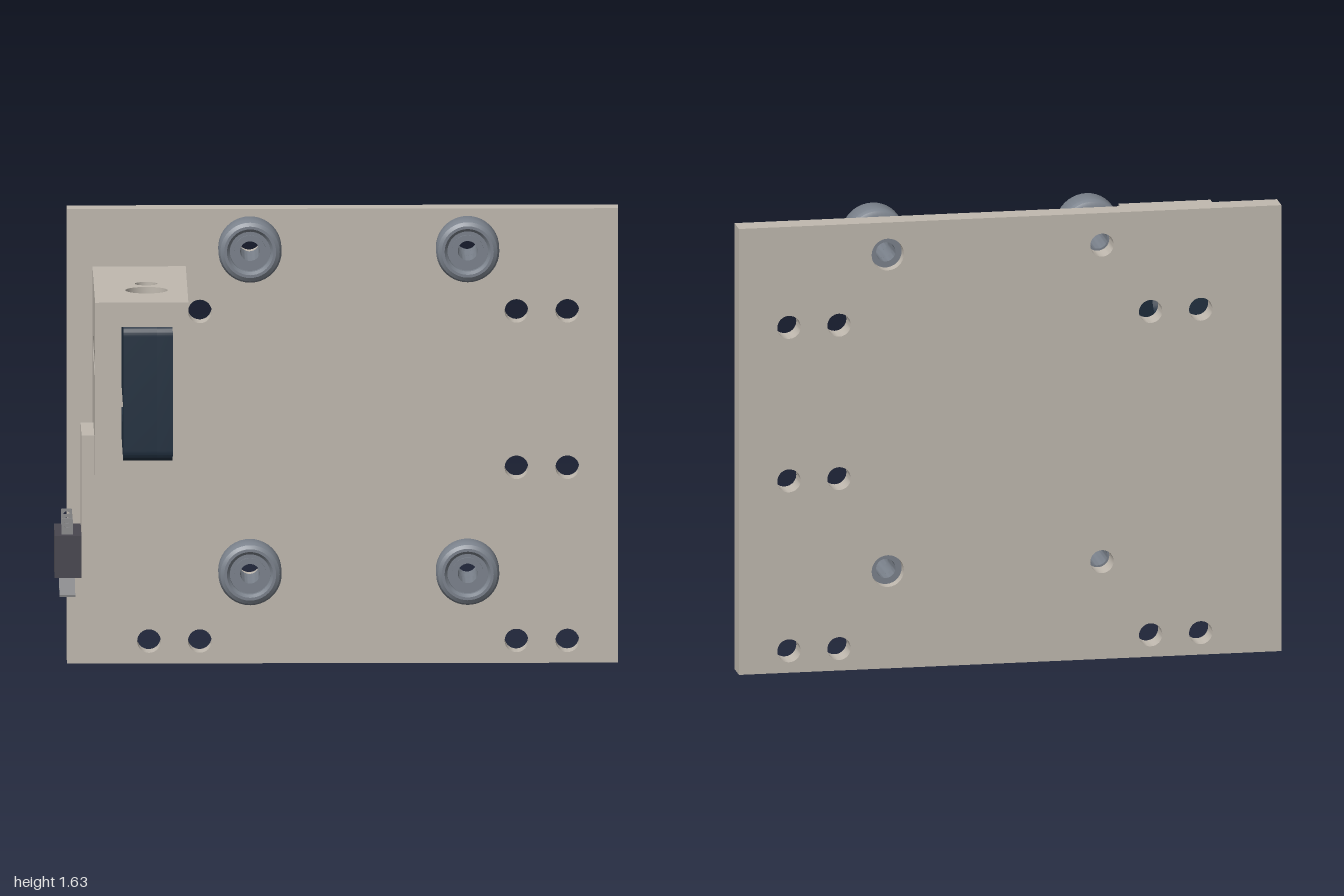
import * as THREE from 'three';
import { toCreasedNormals } from 'three/addons/utils/BufferGeometryUtils.js';

const mat = (name, color) => Object.assign(new THREE.MeshStandardMaterial({ color }), { name });

// Closed outline from [x, y, cornerRadius] points
function poly(pts, holes = []) {
  const s = new THREE.Shape();
  pts.forEach(([x, y, r = 0], i) => {
    const toward = ([px, py]) => {
      const d = Math.hypot(px - x, py - y);
      return [x + (px - x) / d * r, y + (py - y) / d * r];
    };
    const a = toward(pts[(i + pts.length - 1) % pts.length]);
    const b = toward(pts[(i + 1) % pts.length]);
    if (i === 0) s.moveTo(...a); else s.lineTo(...a);
    if (r) s.quadraticCurveTo(x, y, ...b);
  });
  s.closePath();
  s.holes = holes;
  return s;
}
const rect = (x0, y0, x1, y1, holes) => poly([[x0, y0], [x1, y0], [x1, y1], [x0, y1]], holes);
const circle = (x, y, r) => new THREE.Path().absarc(x, y, r, 0, Math.PI * 2, true);
// Rounded slot; hx, hy are the half lengths of its straight part
function slot(x, y, r, hx, hy) {
  const p = new THREE.Path();
  if (hx) {
    p.absarc(x + hx, y, r, -Math.PI / 2, Math.PI / 2, false);
    p.absarc(x - hx, y, r, Math.PI / 2, Math.PI * 1.5, false);
  } else {
    p.absarc(x, y + hy, r, 0, Math.PI, false);
    p.absarc(x, y - hy, r, Math.PI, Math.PI * 2, false);
  }
  return p.closePath();
}
function extrude(shape, depth) {
  const g = new THREE.ExtrudeGeometry(shape, { depth, bevelEnabled: false, curveSegments: 16 });
  return toCreasedNormals(g, 0.6);
}
// Slabs facing z, x (outline drawn in -z, y) and y (outline drawn in x, -z)
const slabZ = (shape, z0, z1) => extrude(shape, z1 - z0).translate(0, 0, z0);
const slabX = (shape, x0, x1) => extrude(shape, x1 - x0).rotateY(Math.PI / 2).translate(x0, 0, 0);
const slabY = (shape, y0, y1) => extrude(shape, y1 - y0).rotateX(-Math.PI / 2).translate(0, y0, 0);
const box = (x0, x1, y0, y1, z0, z1) => new THREE.BoxGeometry(x1 - x0, y1 - y0, z1 - z0)
  .translate((x0 + x1) / 2, (y0 + y1) / 2, (z0 + z1) / 2);
// Turned part about the z axis from [radius, z] points
const turned = pts => toCreasedNormals(new THREE.LatheGeometry(
  pts.map(p => new THREE.Vector2(...p)), 40).rotateX(Math.PI / 2), 0.5);

export function createModel() {
  const root = new THREE.Group();
  root.name = 'carriageAssembly';
  const sand = mat('sandPlastic', 0xc0b9af);
  const navy = mat('navyMetal', 0x213040);
  const steel = mat('wheelGrey', 0x7b828c);
  const dark = mat('switchCharcoal', 0x48464f);
  const metal = mat('contactMetal', 0x8c8c8e);
  const group = name => {
    const g = new THREE.Group();
    g.name = name;
    root.add(g);
    return g;
  };
  const add = (parent, name, geo, m) => {
    const mesh = new THREE.Mesh(geo, m);
    mesh.name = name;
    parent.add(mesh);
    return mesh;
  };

  // Back plate with mounting and axle holes
  const wheelX = [-0.305, 0.465], wheelY = [0.355, 1.51];
  const holes = [[-0.66, 0.08], [-0.48, 0.08], [-0.66, 1.26], [-0.48, 1.26]];
  for (const y of [0.08, 0.7, 1.26]) holes.push([0.64, y], [0.82, y]);
  const platePaths = holes.map(([x, y]) => circle(x, y, 0.042));
  for (const y of wheelY) platePaths.push(circle(wheelX[0], y, 0.042), circle(wheelX[1], y, 0.058));
  add(root, 'backPlate', slabZ(rect(-0.95, 0, 1, 1.627, platePaths), -0.46, -0.373), sand);

  // Wheels: round spacers on one column, hexagonal spacers on the other
  const tyre = turned([[0.035, -0.275], [0.06, -0.275], [0.06, -0.255], [0.092, -0.255], [0.105, -0.248],
    [0.112, -0.235], [0.112, -0.147], [0.105, -0.133], [0.092, -0.125], [0.082, -0.125], [0.072, -0.137],
    [0.072, -0.16], [0.056, -0.16], [0.056, -0.152], [0.035, -0.152], [0.035, -0.275]]);
  const round = turned([[0.035, -0.373], [0.084, -0.373], [0.084, -0.362], [0.072, -0.362],
    [0.072, -0.272], [0.035, -0.272], [0.035, -0.373]]);
  const hexPts = [...Array(6)].map((_, i) => {
    const a = Math.PI / 2 + i * Math.PI / 3;
    return [0.077 * Math.cos(a), 0.077 * Math.sin(a)];
  });
  const hex = slabZ(poly(hexPts, [circle(0, 0, 0.035)]), -0.36, -0.272);
  const boss = turned([[0.035, -0.42], [0.057, -0.42], [0.057, -0.373], [0.082, -0.373],
    [0.082, -0.36], [0.035, -0.36], [0.035, -0.42]]);
  wheelX.forEach((x, i) => wheelY.forEach(y => {
    const w = group('wheel');
    w.position.set(x, y, 0);
    add(w, 'tyre', tyre, steel);
    if (i === 0) add(w, 'roundSpacer', round, steel);
    else {
      add(w, 'hexSpacer', hex, steel);
      add(w, 'eccentricBoss', boss, steel);
    }
  }));

  // Bracket: top arm, side wall and switch mount
  const bracket = group('bracket');
  add(bracket, 'topArm', slabY(rect(-0.86, -0.46, -0.53, 0.373,
    [circle(-0.675, -0.175, 0.075), circle(-0.675, -0.025, 0.04)]), 1.335, 1.422), sand);
  add(bracket, 'sideWall', slabX(poly([[-0.46, 0.787], [0.085, 0.787], [0.085, 0.375], [0.373, 0.375],
    [0.373, 1.335], [-0.46, 1.335]],
    [slot(-0.33, 1.19, 0.045, 0.022, 0), slot(-0.03, 1.19, 0.045, 0.022, 0)]), -0.86, -0.775), sand);
  add(bracket, 'switchMount', slabX(rect(-0.195, 0.39, 0.105, 0.905,
    [slot(-0.12, 0.503, 0.017, 0, 0.02), slot(0.02, 0.503, 0.017, 0, 0.02)]), -0.905, -0.86), sand);

  // Load cell: slotted block, counterbored sideways and bored through vertically
  const cell = group('loadCell');
  const [b, t, s0, s1] = [0.847, 1.334, 0.966, 1.036];
  for (const [x0, x1, r] of [[-0.76, -0.64, 0.04], [-0.64, -0.585, 0.068]]) {
    add(cell, 'frontBlock', slabX(poly([[-0.43, b, 0.04], [-0.245, b], [-0.245, s0], [-0.35, s0, 0.034],
      [-0.35, s1, 0.034], [-0.245, s1], [-0.245, t], [-0.43, t, 0.04]], [circle(-0.33, 1.19, r)]), x0, x1), navy);
    add(cell, 'upperBlock', slabX(poly([[-0.105, s1], [0.07, s1], [0.07, t, 0.04], [-0.105, t]],
      [circle(-0.03, 1.19, r)]), x0, x1), navy);
  }
  add(cell, 'lowerBlock', slabX(poly([[-0.105, b], [0.07, b, 0.04], [0.07, s0], [-0.105, s0]]), -0.76, -0.585), navy);
  for (const [y0, y1] of [[b, s0], [s1, t]])
    add(cell, 'boredBlock', slabY(rect(-0.76, -0.245, -0.585, -0.105,
      [circle(-0.675, -0.175, 0.062)]), y0, y1), navy);

  // Limit switch with terminals, plunger and lever
  const sw = group('limitSwitch');
  add(sw, 'switchBody', slabX(rect(-0.195, 0.395, 0.1, 0.545,
    [circle(-0.12, 0.503, 0.02), circle(0.02, 0.503, 0.02)]), -1, -0.905), dark);
  for (const z of [-0.075, 0.05, 0.152])
    add(sw, 'terminal', slabZ(poly([[-0.975, 0.54], [-0.935, 0.54], [-0.935, 0.602, 0.008],
      [-0.975, 0.602, 0.008]], [circle(-0.955, 0.58, 0.012)]), z - 0.004, z + 0.004), metal);
  add(sw, 'plunger', new THREE.CylinderGeometry(0.013, 0.013, 0.03, 16).rotateZ(Math.PI / 2)
    .translate(-0.955, 0.384, 0.013), metal);
  add(sw, 'leverHook', box(-0.983, -0.927, 0.368, 0.4, -0.042, -0.036), metal);
  const lever = add(sw, 'lever', new THREE.BoxGeometry(0.056, 0.006, 0.234), metal);
  lever.position.set(-0.955, 0.35, 0.075);
  lever.rotation.x = 0.172;
  return root;
}
